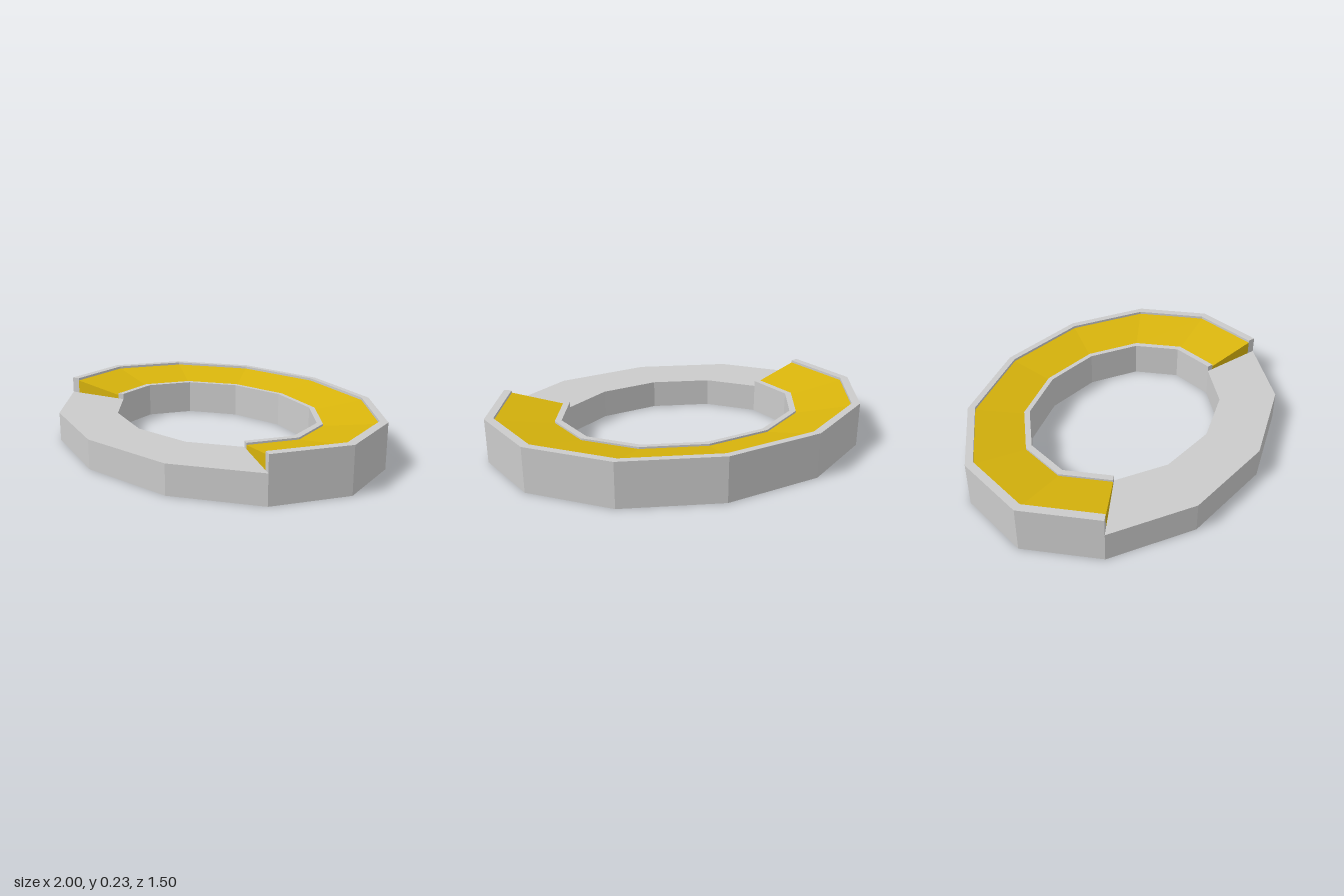
import * as THREE from 'three';

const SIDES = 12, DEPTH = 0.75;
const grey = new THREE.MeshStandardMaterial({ color: 0xcccccc, flatShading: true, side: THREE.DoubleSide });
const gold = new THREE.MeshStandardMaterial({ color: 0xd8b40c, flatShading: true, side: THREE.DoubleSide });

// Point on the twelve-sided oval at step k, radius r and height y
function ringPoint(k, [r, y]) {
  const a = (k / SIDES) * Math.PI * 2;
  return [r * Math.cos(a), y, r * DEPTH * Math.sin(a)];
}

function makeMesh(name, positions, material) {
  const geometry = new THREE.BufferGeometry();
  geometry.setAttribute('position', new THREE.Float32BufferAttribute(positions, 3));
  geometry.computeVertexNormals();
  const mesh = new THREE.Mesh(geometry, material);
  mesh.name = name;
  return mesh;
}

// Sweep an open [radius, height] profile around part of the oval
function sweep(name, profile, from, to, material) {
  const p = [];
  for (let k = from; k < to; k++) {
    for (let j = 0; j < profile.length - 1; j++) {
      const a = ringPoint(k, profile[j]), b = ringPoint(k, profile[j + 1]);
      const c = ringPoint(k + 1, profile[j]), d = ringPoint(k + 1, profile[j + 1]);
      p.push(...a, ...b, ...c, ...b, ...d, ...c);
    }
  }
  return makeMesh(name, p, material);
}

// Close both ends of the raised section with a four-cornered face
function endCaps(name, quad, material) {
  const p = [];
  for (const k of [1, 5]) {
    const q = quad.map((c) => ringPoint(k, c));
    if (k === 5) q.reverse();
    p.push(...q[0], ...q[1], ...q[2], ...q[0], ...q[2], ...q[3]);
  }
  return makeMesh(name, p, material);
}

export function createModel() {
  const group = new THREE.Group();
  group.name = 'ovalRing';

  // Low front section, open underneath
  group.add(sweep('frontBase', [[1, 0], [1, 0.15], [0.62, 0.15], [0.62, 0]], 1, 5, grey));

  // Raised back section: outer and inner walls with narrow rims
  group.add(sweep('outerRim', [[1, 0], [1, 0.235], [0.955, 0.235], [0.955, 0.222]], 5, 13, grey));
  group.add(sweep('innerRim', [[0.655, 0.17], [0.655, 0.18], [0.62, 0.18], [0.62, 0]], 5, 13, grey));

  // Sloped cushion between the rims
  group.add(sweep('cushion', [[0.955, 0.222], [0.655, 0.17]], 5, 13, gold));

  // Ends of the raised section
  group.add(endCaps('outerRimEnds', [[1, 0.15], [1, 0.235], [0.955, 0.235], [0.955, 0.15]], grey));
  group.add(endCaps('innerRimEnds', [[0.655, 0.15], [0.655, 0.18], [0.62, 0.18], [0.62, 0.15]], grey));
  group.add(endCaps('cushionEnds', [[0.955, 0.15], [0.955, 0.222], [0.655, 0.17], [0.655, 0.15]], gold));

  return group;
}
